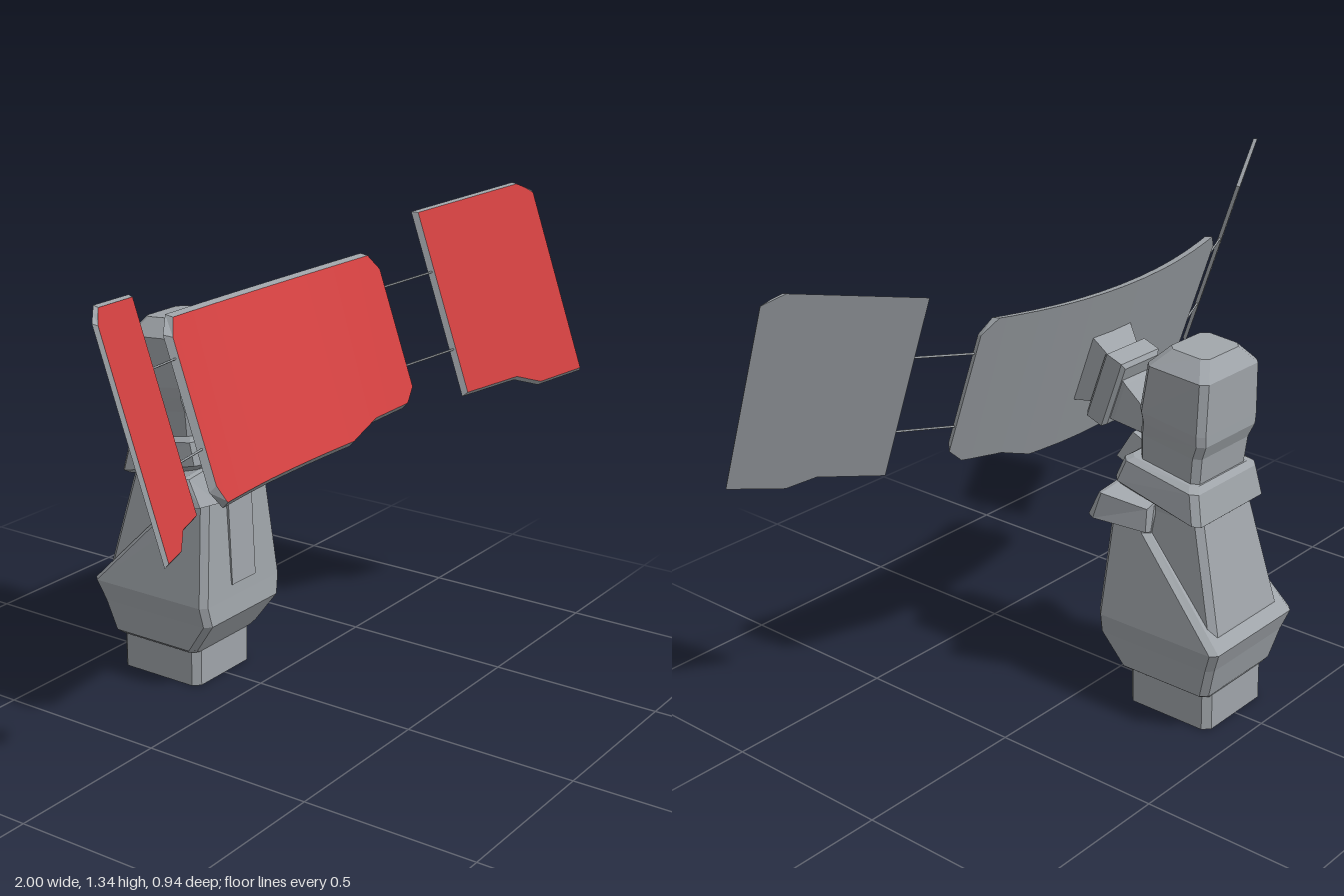
import * as THREE from 'three';

const grey = new THREE.MeshStandardMaterial({ color: 0x9fa4a9 });
grey.name = 'hull grey';
const red = new THREE.MeshStandardMaterial({ color: 0xd64242 });
red.name = 'panel red';

const TILT = 0.349; // backward lean of the panels

// Flat-shaded solid through equal-length rings of [x, y, z], always facing outward
function loft(rings, capStart = true) {
  const tris = [];
  const n = rings[0].length;
  for (let r = 0; r < rings.length - 1; r++) {
    for (let i = 0; i < n; i++) {
      const j = (i + 1) % n, a = rings[r], b = rings[r + 1];
      tris.push([a[i], a[j], b[j]], [a[i], b[j], b[i]]);
    }
  }
  const last = rings[rings.length - 1];
  for (let i = 1; i < n - 1; i++) {
    if (capStart) tris.push([rings[0][0], rings[0][i + 1], rings[0][i]]);
    tris.push([last[0], last[i], last[i + 1]]);
  }
  // flip the winding when the enclosed volume comes out negative
  const c = rings[0][0];
  let volume = 0;
  for (const t of tris) {
    const [p, q, s] = t.map((v) => new THREE.Vector3(v[0] - c[0], v[1] - c[1], v[2] - c[2]));
    volume += p.dot(q.cross(s));
  }
  if (volume < 0) tris.forEach((t) => t.reverse());
  const geo = new THREE.BufferGeometry();
  geo.setAttribute('position', new THREE.Float32BufferAttribute(tris.flat(2), 3));
  geo.computeVertexNormals();
  return geo;
}

// Rectangular cross-section with cut corners: half width, front z, back z, front y, back y
function section(w, zf, zb, yf, yb = yf, c = 0.018) {
  const y = (z) => yf + (yb - yf) * (z - zf) / (zb - zf);
  return [[w - c, zf], [w, zf - c], [w, zb + c], [w - c, zb], [c - w, zb], [-w, zb + c], [-w, zf - c], [c - w, zf]]
    .map(([x, z]) => [x, y(z), z]);
}

// Plain rectangle facing z: half width at top and bottom, y range, depth
const rect = (wt, wb, y0, y1, z0, z1 = z0) => [[-wb, y0, z0], [wb, y0, z0], [wt, y1, z1], [-wt, y1, z1]];

function add(parent, name, geo, mat = grey) {
  const mesh = new THREE.Mesh(geo, mat);
  mesh.name = name;
  parent.add(mesh);
  return mesh;
}

// Piecewise linear value through [x, value] points
function along(points, x) {
  for (let i = 0; i < points.length - 1; i++) {
    const [x0, v0] = points[i], [x1, v1] = points[i + 1];
    if (x <= x1) return v0 + (v1 - v0) * (x - x0) / (x1 - x0);
  }
  return points[points.length - 1][1];
}

// Bent plate: grey back and bevelled rim, red front
function panel(parent, name, bottom, top, depth, thick, inset) {
  const x0 = top[0][0], x1 = top[top.length - 1][0];
  const set = new Set([...bottom, ...top].map((p) => p[0]));
  for (let i = 1; i < 12; i++) set.add(x0 + (x1 - x0) * i / 12);
  const xs = [...set].sort((a, b) => a - b);
  const back = [], front = [];
  for (const x of xs) {
    const b = along(bottom, x), t = along(top, x), z = depth(x);
    const fx = Math.min(x1 - inset, Math.max(x0 + inset, x));
    back.push([x, b, z], [x, t, z]);
    front.push([fx, b + inset, depth(fx) + thick], [fx, t - inset, depth(fx) + thick]);
  }
  const sheet = (points, flip) => {
    const index = [];
    for (let i = 0; i < points.length - 2; i += 2) {
      const quad = [i, i + 2, i + 3, i, i + 3, i + 1];
      index.push(...(flip ? quad.reverse() : quad));
    }
    const geo = new THREE.BufferGeometry();
    geo.setAttribute('position', new THREE.Float32BufferAttribute(points.flat(), 3));
    geo.setIndex(index);
    geo.computeVertexNormals();
    return geo;
  };
  const rim = [];
  const strip = (a, b) => rim.push(...back[a], ...back[b], ...front[b], ...back[a], ...front[b], ...front[a]);
  const n = back.length;
  for (let i = 0; i < n - 2; i += 2) {
    strip(i, i + 2);
    strip(i + 3, i + 1);
  }
  strip(1, 0);
  strip(n - 2, n - 1);
  const rimGeo = new THREE.BufferGeometry();
  rimGeo.setAttribute('position', new THREE.Float32BufferAttribute(rim, 3));
  rimGeo.computeVertexNormals();
  add(parent, name + 'Face', sheet(front, false), red);
  add(parent, name + 'Back', sheet(back, true));
  add(parent, name + 'Rim', rimGeo);
}

export function createModel() {
  const model = new THREE.Group();
  model.name = 'panelArray';

  // Hollow socket at the foot
  const outer = new THREE.Shape([[-0.13, -0.11], [-0.11, -0.13], [0.11, -0.13], [0.13, -0.11],
    [0.13, 0.13], [0.11, 0.15], [-0.11, 0.15], [-0.13, 0.13]].map((p) => new THREE.Vector2(...p)));
  outer.holes.push(new THREE.Path([[-0.12, -0.12], [-0.12, 0.14], [0.12, 0.14], [0.12, -0.12]]
    .map((p) => new THREE.Vector2(...p))));
  const socket = new THREE.ExtrudeGeometry(outer, { depth: 0.125, bevelEnabled: false });
  socket.rotateX(-Math.PI / 2).translate(0, 0, -0.26);
  add(model, 'socket', socket);

  // Lower housing with its back cut away on a slant
  add(model, 'housing', loft([
    section(0.14, -0.13, -0.41, 0.108), section(0.158, -0.12, -0.42, 0.122),
    section(0.172, -0.055, -0.447, 0.215), section(0.185, -0.06, -0.47, 0.275),
    section(0.15, -0.079, -0.21, 0.56, 0.545), section(0.135, -0.09, -0.22, 0.69, 0.62)]));
  add(model, 'backColumn', loft([
    section(0.155, -0.2, -0.445, 0.27), section(0.15, -0.2, -0.44, 0.31),
    section(0.12, -0.12, -0.365, 0.61), section(0.12, -0.13, -0.35, 0.7)]));
  const slot = add(model, 'frontSlot', new THREE.BoxGeometry(0.11, 0.34, 0.008));
  slot.position.set(0, 0.48, -0.0715);
  slot.rotation.x = -0.054;

  // Collar and head
  add(model, 'collar', loft([
    section(0.135, -0.1, -0.37, 0.665, 0.605), section(0.155, -0.095, -0.382, 0.685, 0.615),
    section(0.145, -0.118, -0.365, 0.745, 0.7), section(0.125, -0.13, -0.35, 0.752, 0.715)]));
  add(model, 'head', loft([
    section(0.115, -0.15, -0.345, 0.74, 0.705), section(0.12, -0.153, -0.355, 0.82, 0.79),
    section(0.127, -0.162, -0.372, 0.86, 0.83), section(0.13, -0.157, -0.373, 0.89, 0.86),
    section(0.125, -0.178, -0.377, 1.02, 1.005), section(0.08, -0.22, -0.345, 1.065, 1.055)]));

  // Side lugs
  for (const s of [-1, 1]) {
    const lug = (xi, xo, z0, y0, z1, y1) => [[s * xi, y0, z0], [s * xo, y0 + 0.01, z0], [s * xo, y1 - 0.01, z1], [s * xi, y1, z1]];
    add(model, s > 0 ? 'leftLug' : 'rightLug', loft([
      lug(0.12, 0.205, -0.055, 0.575, -0.092, 0.67),
      lug(0.12, 0.213, -0.075, 0.57, -0.105, 0.672),
      lug(0.12, 0.155, -0.21, 0.545, -0.215, 0.635)]));
  }

  // Front brackets under the arm
  add(model, 'lowerBracket', loft([
    rect(0.075, 0.052, 0.575, 0.685, -0.055, -0.09), rect(0.075, 0.052, 0.56, 0.685, -0.16)]));
  add(model, 'upperBracket', loft([
    rect(0.06, 0.07, 0.705, 0.785, -0.042, -0.09), rect(0.06, 0.07, 0.665, 0.75, -0.15, -0.17)]));

  // Everything below leans back
  const array = new THREE.Group();
  array.name = 'tiltedArray';
  array.rotation.x = -TILT;
  model.add(array);

  // Arm from head to panel
  add(array, 'arm', loft([
    rect(0.03, 0.03, 0.765, 0.81, 0.09), rect(0.035, 0.035, 0.775, 0.815, 0.13),
    rect(0.065, 0.065, 0.765, 0.885, 0.25), rect(0.065, 0.065, 0.76, 0.9, 0.28)]));
  add(array, 'armBlock', loft([
    rect(0.07, 0.07, 0.745, 0.93, 0.262), rect(0.08, 0.08, 0.735, 0.942, 0.272),
    rect(0.08, 0.08, 0.735, 0.942, 0.325), rect(0.07, 0.07, 0.745, 0.93, 0.335)]));
  add(array, 'panelMount', loft([
    rect(0.06, 0.06, 0.775, 0.925, 0.325), rect(0.08, 0.08, 0.75, 0.96, 0.385)]));

  // Centre panel, gently curved
  const curve = (x) => 0.38 + 0.27 * x * x;
  panel(array, 'centrePanel',
    [[-0.487, 0.65], [-0.44, 0.598], [-0.2, 0.6], [0.2, 0.6], [0.31, 0.638], [0.44, 0.645], [0.487, 0.685]],
    [[-0.487, 1.06], [-0.445, 1.107], [0.445, 1.107], [0.487, 1.06]],
    curve, 0.022, 0.012);

  // Mirrored wing panels and the rods that hold them
  const wingDepth = (x) => 0.51 + 0.547 * (Math.abs(x) - 0.64);
  const wingBottom = [[0.64, 0.619], [0.8, 0.617], [0.865, 0.58], [1, 0.581]];
  const wingTop = [[0.64, 1.18], [0.95, 1.18], [1, 1.142]];
  for (const s of [-1, 1]) {
    const side = (pts) => (s > 0 ? pts : pts.map(([x, v]) => [-x, v]).reverse());
    const name = s > 0 ? 'left' : 'right';
    panel(array, name + 'Wing', side(wingBottom), side(wingTop), wingDepth, 0.013, 0.008);
    for (const v of [0.76, 0.995]) {
      const path = new THREE.LineCurve3(
        new THREE.Vector3(s * 0.475, v, 0.452), new THREE.Vector3(s * 0.648, v, 0.52));
      add(array, name + 'Rod', new THREE.TubeGeometry(path, 1, 0.003, 6));
    }
  }
  return model;
}
